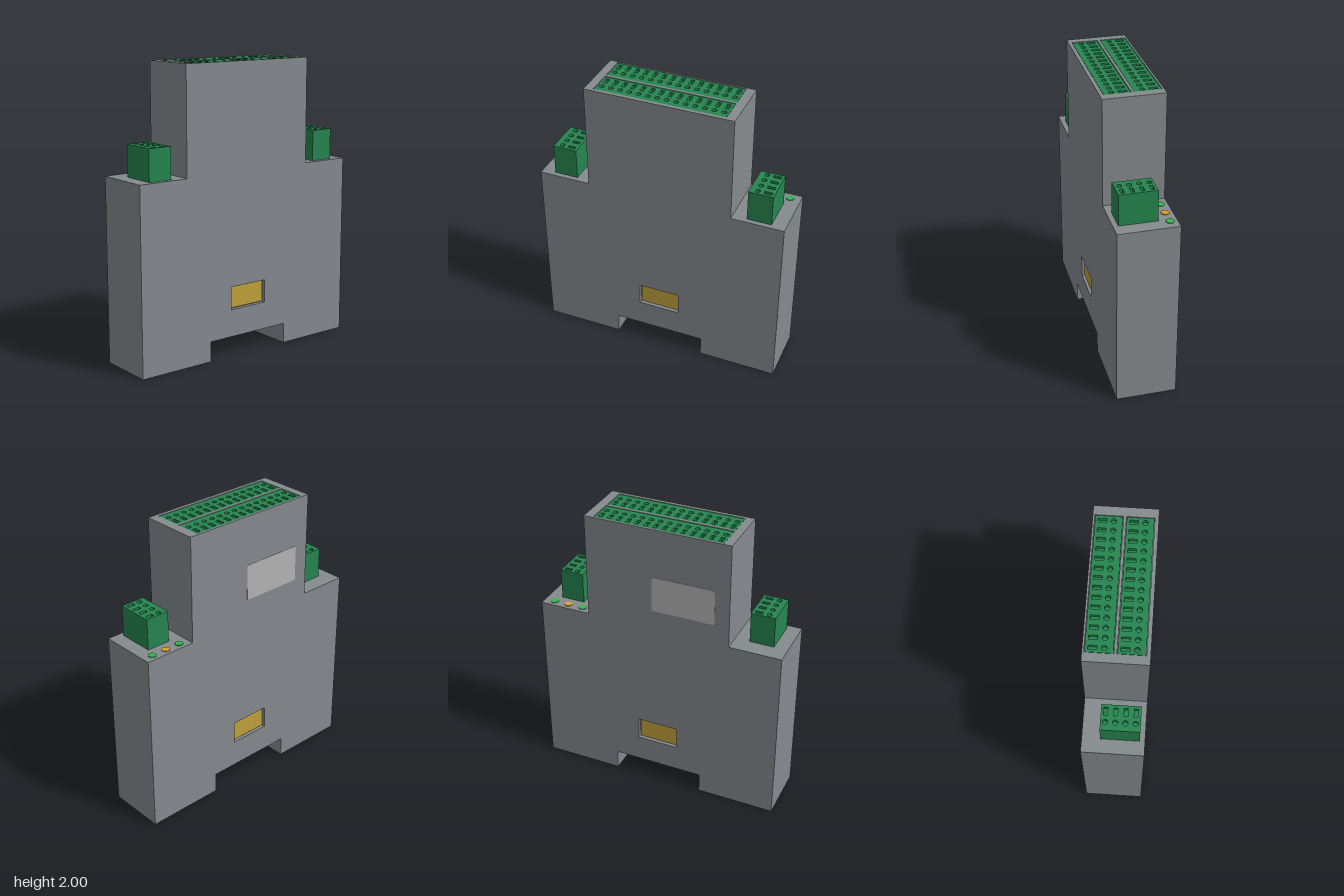
import * as THREE from 'three';

const paint = (color) => new THREE.MeshStandardMaterial({ color });
const grey = paint(0x858a8e), green = paint(0x26854f), gold = paint(0xc0a03a);
const ledGreen = paint(0x30b850), ledAmber = paint(0xd6a030), labelGrey = paint(0xb4b4b4);

function add(parent, name, geometry, material) {
  const mesh = new THREE.Mesh(geometry, material);
  mesh.name = name;
  parent.add(mesh);
  return mesh;
}

function box(parent, name, x0, x1, y0, y1, z0, z1, material) {
  const mesh = add(parent, name, new THREE.BoxGeometry(x1 - x0, y1 - y0, z1 - z0), material);
  mesh.position.set((x0 + x1) / 2, (y0 + y1) / 2, (z0 + z1) / 2);
}

// Closed rectangle on a horizontal plane; shape y stands for -z
function rect(x0, x1, z0, z1, Kind = THREE.Path) {
  const p = new Kind();
  p.moveTo(x0, -z1);
  p.lineTo(x1, -z1);
  p.lineTo(x1, -z0);
  p.lineTo(x0, -z0);
  p.closePath();
  return p;
}

const circle = (x, z, r) => new THREE.Path().absarc(x, -z, r, 0, Math.PI * 2, true);

// Horizontal slab with holes, rising from y0 to y1
function slab(parent, name, [x0, x1, z0, z1], y0, y1, holes, material) {
  const shape = rect(x0, x1, z0, z1, THREE.Shape);
  shape.holes.push(...holes);
  const g = new THREE.ExtrudeGeometry(shape, { depth: y1 - y0, bevelEnabled: false, curveSegments: 8 });
  g.rotateX(-Math.PI / 2).translate(0, y0, 0);
  return add(parent, name, g, material);
}

export function createModel() {
  const model = new THREE.Group();
  const zb = -0.203, zf = 0.203, tx = 0.507;

  // Stepped housing with rail notch and a window opening
  const outline = new THREE.Shape([
    [-0.867, 0], [-0.32, 0], [-0.32, 0.14], [0.32, 0.14], [0.32, 0], [0.867, 0],
    [0.867, 1.27], [tx, 1.27], [tx, 1.96], [-tx, 1.96], [-tx, 1.27], [-0.867, 1.27],
  ].map(([x, y]) => new THREE.Vector2(x, y)));
  outline.holes.push(new THREE.Path([
    [-0.145, 0.33], [-0.145, 0.49], [0.145, 0.49], [0.145, 0.33],
  ].map(([x, y]) => new THREE.Vector2(x, y))));
  const body = new THREE.ExtrudeGeometry(outline, { depth: zf - zb, bevelEnabled: false });
  add(model, 'housing', body.translate(0, 0, zb), grey);

  // Window floor and the gold contact plate showing on both faces
  box(model, 'windowFloor', -0.145, 0.145, 0.33, 0.49, -0.175, 0.175, grey);
  box(model, 'contactPlate', -0.137, 0.137, 0.337, 0.483, -0.185, 0.185, gold);

  // Rim around the two terminal strips on top of the tower
  const strips = [[-0.449, 0.444, -0.19, -0.014], [-0.449, 0.444, 0.004, 0.178]];
  slab(model, 'towerRim', [-tx, tx, zb, zf], 1.96, 2, strips.map((s) => rect(...s)), grey);

  // Terminal strips: fourteen clamp slots and wire holes each
  for (const [x0, x1, z0, z1] of strips) {
    const strip = new THREE.Group();
    strip.name = 'terminalStrip';
    model.add(strip);
    const holes = [];
    for (let i = 0; i < 14; i++) {
      const x = -0.416 + i * 0.0635;
      holes.push(rect(x - 0.013, x + 0.013, z0 + 0.021, z0 + 0.075), circle(x, z0 + 0.118, 0.017));
    }
    const a = [x0 + 0.003, x1 - 0.003, z0 + 0.003, z1 - 0.003];
    slab(strip, 'terminalFace', a, 1.97, 1.997, holes, green);
    slab(strip, 'terminalBase', a, 1.96, 1.97, [], green);
  }

  // Four-way plug connectors on the shoulders
  for (const x of [-0.773, 0.604]) {
    const plug = new THREE.Group();
    plug.name = 'plugConnector';
    model.add(plug);
    const holes = [];
    for (let i = 0; i < 4; i++) {
      const z = -0.054 + i * 0.0635;
      holes.push(circle(x + 0.053, z, 0.017), rect(x + 0.096, x + 0.148, z - 0.012, z + 0.012));
    }
    const a = [x, x + 0.167, -0.084, 0.169];
    slab(plug, 'plugFace', a, 1.455, 1.485, holes, green);
    slab(plug, 'plugBase', a, 1.27, 1.455, [], green);
  }

  // Status lights on the left shoulder
  [ledGreen, ledAmber, ledGreen].forEach((material, i) => {
    const x = 0.578 + i * 0.108;
    const light = add(model, 'statusLight', new THREE.CylinderGeometry(0.027, 0.027, 0.006, 24), material);
    light.position.set(x, 1.272, -0.153);
  });

  // Thin label plate on the back of the tower
  box(model, 'backLabel', -0.405, 0.035, 1.41, 1.66, zb - 0.002, zb + 0.004, labelGrey);
  return model;
}
